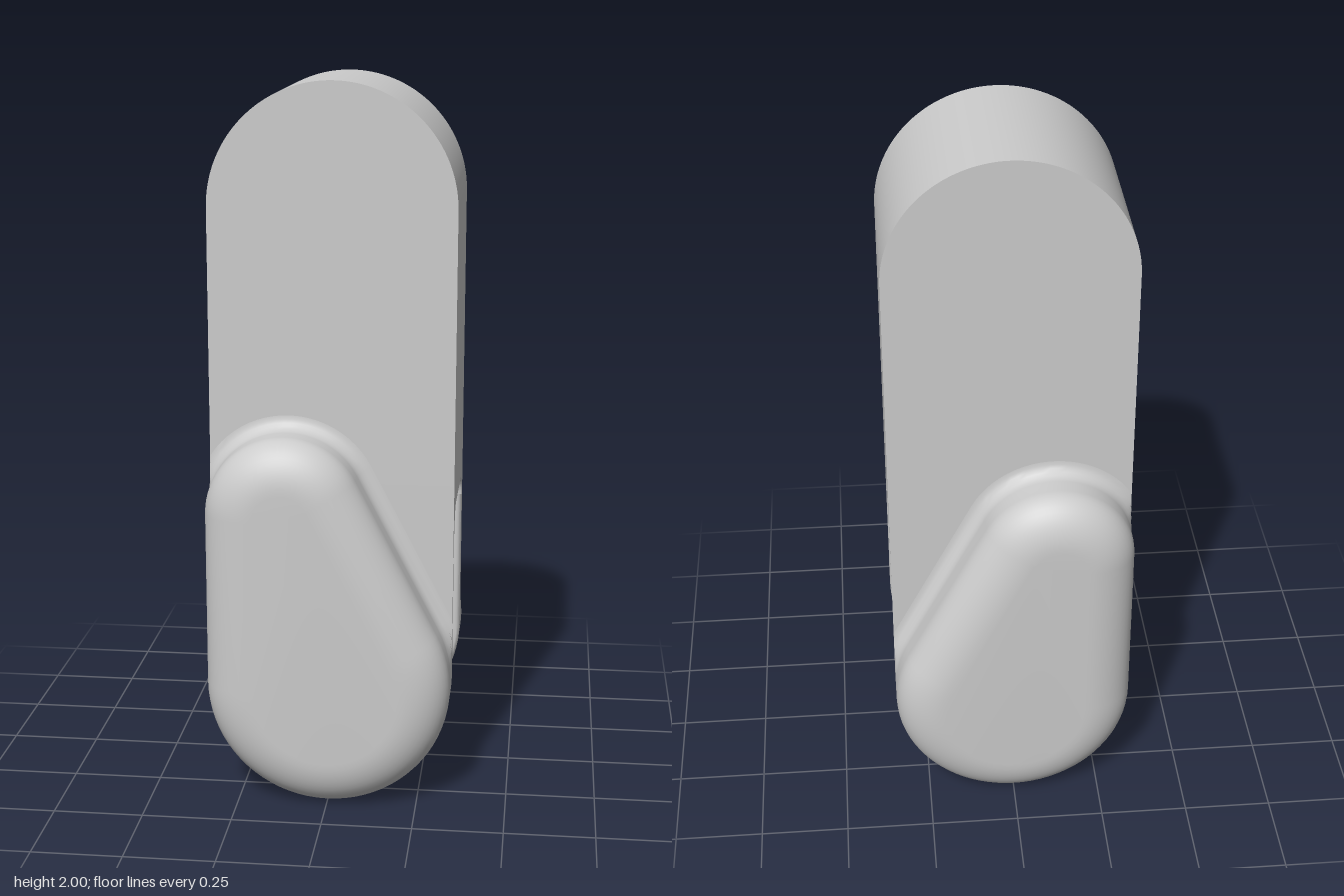
import * as THREE from 'three';
import { toCreasedNormals } from 'three/addons/utils/BufferGeometryUtils.js';

const R = 0.34;         // half width of the body
const TOP = 1.66;       // centre height of the rounded top
const FACE = 0.235;     // half depth of the body
const SLOT = 0.197;     // half depth of the slot
const SLOT_TOP = 0.825;
const FILLET = 0.07;

const material = new THREE.MeshStandardMaterial({ color: 0xcccccc });

function part(geometry, name) {
  const mesh = new THREE.Mesh(toCreasedNormals(geometry, 0.55), material);
  mesh.name = name;
  return mesh;
}

// Points on an arc, counter-clockwise
function arc(cx, cy, r, from, to, steps) {
  const points = [];
  for (let i = 0; i <= steps; i++) {
    const a = from + (to - from) * i / steps;
    points.push([cx + r * Math.cos(a), cy + r * Math.sin(a)]);
  }
  return points;
}

// Skin over convex rings [{ z, points }]; side -1 mirrors it to the back
function loft(rings, side, capStart) {
  const ordered = side < 0 ? [...rings].reverse() : rings;
  const n = rings[0].points.length;
  const pos = [], index = [];
  for (const ring of ordered) for (const [x, y] of ring.points) pos.push(x, y, ring.z * side);
  for (let i = 0; i < ordered.length - 1; i++) {
    for (let j = 0; j < n; j++) {
      const a = i * n + j, b = i * n + (j + 1) % n;
      index.push(a, b, b + n, a, b + n, a + n);
    }
  }
  const last = (ordered.length - 1) * n;
  const capLow = side > 0 ? capStart : true;
  const capHigh = side > 0 ? true : capStart;
  for (let j = 1; j < n - 1; j++) {
    if (capLow) index.push(0, j + 1, j);
    if (capHigh) index.push(last, last + j, last + j + 1);
  }
  const geometry = new THREE.BufferGeometry();
  geometry.setAttribute('position', new THREE.Float32BufferAttribute(pos, 3));
  geometry.setIndex(index);
  return geometry;
}

// Keeps a point inside the body's rounded silhouette
function clampToBody([x, y]) {
  const cy = Math.min(Math.max(y, R), TOP);
  const k = Math.min(1, R / Math.max(Math.hypot(x, y - cy), 1e-6));
  return [x * k, cy + (y - cy) * k];
}

// Teardrop cover outline: small upper circle and large lower circle joined by tangents
function coverOutline(inset) {
  const tangent = 27.6 * Math.PI / 180;
  return [
    ...arc(-0.12, 0.83, 0.22 - inset, tangent, Math.PI, 28),
    ...arc(0, R, R - inset, Math.PI, 2 * Math.PI + tangent, 44),
  ].map(clampToBody);
}

function coverGeometry(side) {
  const rings = [];
  // Concave fillet where the cover meets the body
  for (let i = 0; i <= 6; i++) {
    const a = i / 6 * Math.PI / 2;
    rings.push({ z: FACE + 0.04 * (1 - Math.cos(a)), points: coverOutline(-0.04 * (1 - Math.sin(a))) });
  }
  // Rounded outer edge
  for (let i = 0; i <= 12; i++) {
    const a = i / 12 * Math.PI / 2;
    rings.push({ z: 0.32 + 0.1 * Math.sin(a), points: coverOutline(0.14 * (1 - Math.cos(a))) });
  }
  return loft(rings, side, false);
}

// Fork leg with a rounded foot and a softened inner edge
function legGeometry(side) {
  const joint = SLOT_TOP - FILLET;
  const outline = inset => [
    ...arc(0, R, R - inset, Math.PI, 2 * Math.PI, 40),
    [R - inset, joint], [-R + inset, joint],
  ];
  const rings = [];
  for (let i = 0; i <= 4; i++) {
    const a = i / 4 * Math.PI / 2;
    rings.push({ z: SLOT + 0.015 * (1 - Math.cos(a)), points: outline(0.015 * (1 - Math.sin(a))) });
  }
  rings.push({ z: FACE, points: outline(0) });
  return loft(rings, side, true);
}

export function createModel() {
  const group = new THREE.Group();
  group.name = 'forkedBlock';

  // Upper body with a round top
  const seam = 0.9;
  const upper = new THREE.Shape();
  upper.moveTo(-R, seam);
  upper.lineTo(R, seam);
  upper.lineTo(R, TOP);
  upper.absarc(0, TOP, R, 0, Math.PI, false);
  upper.lineTo(-R, seam);
  const upperGeometry = new THREE.ExtrudeGeometry(upper, { depth: 2 * FACE, bevelEnabled: false, curveSegments: 48 });
  upperGeometry.translate(0, 0, -FACE);
  group.add(part(upperGeometry, 'upperBody'));

  // Roof of the slot with filleted corners, extruded across the width
  const low = SLOT_TOP - FILLET;
  const arch = new THREE.Shape();
  arch.moveTo(-FACE, seam);
  arch.lineTo(-FACE, low);
  arch.lineTo(-SLOT, low);
  arch.absarc(-SLOT + FILLET, low, FILLET, Math.PI, Math.PI / 2, true);
  arch.absarc(SLOT - FILLET, low, FILLET, Math.PI / 2, 0, true);
  arch.lineTo(FACE, low);
  arch.lineTo(FACE, seam);
  const archGeometry = new THREE.ExtrudeGeometry(arch, { depth: 2 * R, bevelEnabled: false, curveSegments: 10 });
  archGeometry.translate(0, 0, -R);
  archGeometry.rotateY(Math.PI / 2);
  group.add(part(archGeometry, 'slotArch'));

  // Legs and covers, front and back
  for (const side of [1, -1]) {
    const end = side > 0 ? 'front' : 'back';
    group.add(part(legGeometry(side), end + 'Leg'));
    group.add(part(coverGeometry(side), end + 'Cover'));
  }
  return group;
}
